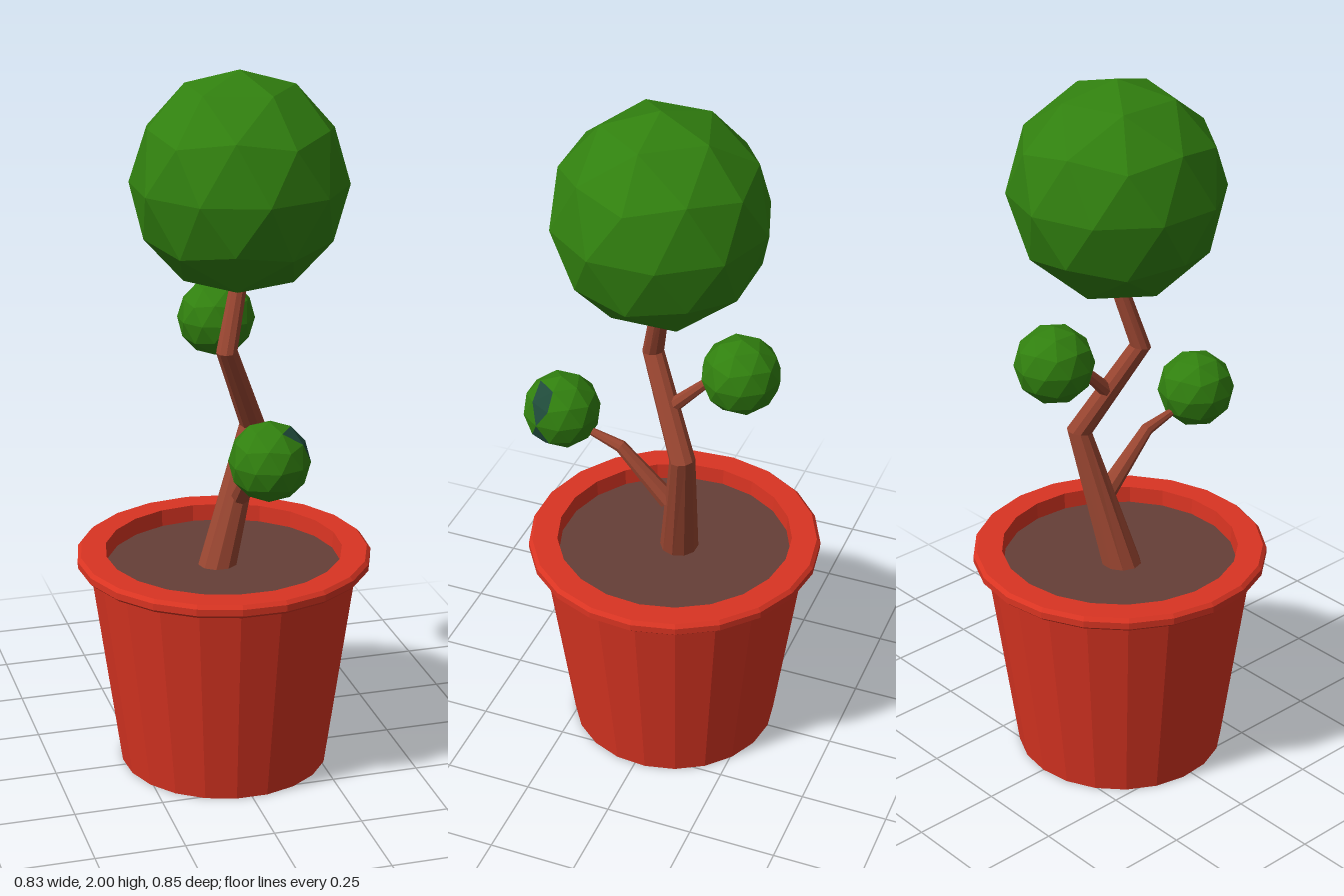
import * as THREE from 'three';

const material = (name, color) => {
  const m = new THREE.MeshStandardMaterial({ color, flatShading: true });
  m.name = name;
  return m;
};

// Tapered limb through stations [x, y, z, radius], closed at both ends
function limbGeometry(stations, sides = 10) {
  const points = stations.map(([x, y, z]) => new THREE.Vector3(x, y, z));
  const last = points.length - 1;
  const positions = [];
  const index = [];
  const side = new THREE.Vector3(1, 0, 0);
  points.forEach((p, i) => {
    const t = new THREE.Vector3();
    if (i > 0) t.add(p.clone().sub(points[i - 1]).normalize());
    if (i < last) t.add(points[i + 1].clone().sub(p).normalize());
    t.normalize();
    const u = side.clone().addScaledVector(t, -side.dot(t)).normalize();
    const v = t.clone().cross(u);
    for (let j = 0; j < sides; j++) {
      const a = (j / sides) * Math.PI * 2;
      const q = p.clone()
        .addScaledVector(u, Math.cos(a) * stations[i][3])
        .addScaledVector(v, Math.sin(a) * stations[i][3]);
      positions.push(q.x, q.y, q.z);
    }
  });
  for (let i = 0; i < last; i++) {
    for (let j = 0; j < sides; j++) {
      const k = (j + 1) % sides;
      const a = i * sides + j, b = i * sides + k;
      index.push(a, b, b + sides, a, b + sides, a + sides);
    }
  }
  for (let j = 1; j < sides - 1; j++) {
    const e = last * sides;
    index.push(0, j + 1, j, e, e + j, e + j + 1);
  }
  const g = new THREE.BufferGeometry();
  g.setAttribute('position', new THREE.Float32BufferAttribute(positions, 3));
  g.setIndex(index);
  g.computeVertexNormals();
  return g;
}

// Faceted ball of leaves with a vertex at the pole
function leafGeometry(radius, height = radius) {
  const g = new THREE.IcosahedronGeometry(1, 1);
  g.rotateZ(-Math.atan(2 / (1 + Math.sqrt(5))));
  g.scale(radius, height, radius);
  g.computeVertexNormals();
  return g;
}

// Give the faces whose direction passes the test the second material
function paintFaces(g, test) {
  const pos = g.attributes.position;
  const c = new THREE.Vector3(), v = new THREE.Vector3();
  for (let i = 0; i < pos.count; i += 3) {
    c.set(0, 0, 0);
    for (let k = 0; k < 3; k++) c.add(v.fromBufferAttribute(pos, i + k));
    g.addGroup(i, 3, test(c.normalize()) ? 1 : 0);
  }
  return g;
}

export function createModel() {
  const model = new THREE.Group();
  model.name = 'pottedTree';
  const clay = material('terracotta', 0xd93422);
  const earth = material('soil', 0x653f37);
  const bark = material('bark', 0x9a4631);
  const leaf = material('leaf', 0x31800f);
  const darkLeaf = material('darkLeaf', 0x1f4a3a);

  const add = (name, geometry, mat, x = 0, y = 0, z = 0) => {
    const mesh = new THREE.Mesh(geometry, mat);
    mesh.name = name;
    mesh.position.set(x, y, z);
    model.add(mesh);
  };

  // Pot with a rolled rim and an open mouth
  const potSides = 21, potZ = -0.009;
  const profile = [
    [0, 0], [0.297, 0], [0.38, 0.6], [0.406, 0.6], [0.416, 0.609],
    [0.416, 0.628], [0.406, 0.638], [0.335, 0.638], [0.33, 0.56],
  ].map(([r, y]) => new THREE.Vector2(r, y));
  add('pot', new THREE.LatheGeometry(profile, potSides, Math.PI), clay, 0, 0, potZ);

  // Soil surface
  const soil = new THREE.CircleGeometry(0.334, potSides, Math.PI / 2);
  soil.rotateX(-Math.PI / 2);
  add('soil', soil, earth, 0, 0.59, potZ);

  // Zigzag trunk and its two branches
  add('trunk', limbGeometry([
    [-0.02, 0.57, -0.015, 0.056],
    [0.1, 0.98, -0.07, 0.036],
    [-0.01, 1.24, 0.058, 0.03],
    [0.038, 1.43, 0.015, 0.024],
  ]), bark);
  add('frontBranch', limbGeometry([
    [0.05, 0.79, -0.01, 0.028],
    [0.045, 0.935, 0.135, 0.018],
    [0.04, 0.965, 0.24, 0.01],
  ], 8), bark);
  add('backBranch', limbGeometry([
    [0.04, 1.1, -0.01, 0.022],
    [0.05, 1.225, -0.13, 0.013],
  ], 8), bark);

  // Foliage balls
  add('crown', leafGeometry(0.297, 0.305), leaf, 0.037, 1.695, 0.015);
  add('backFoliage', leafGeometry(0.11), leaf, 0.035, 1.255, -0.213);
  const patched = paintFaces(leafGeometry(0.11),
    (n) => n.x > 0.3 && n.z > 0.02 && n.z < 0.55 && Math.abs(n.y) < 0.9);
  add('frontFoliage', patched, [leaf, darkLeaf], 0.035, 1.01, 0.315);

  return model;
}
